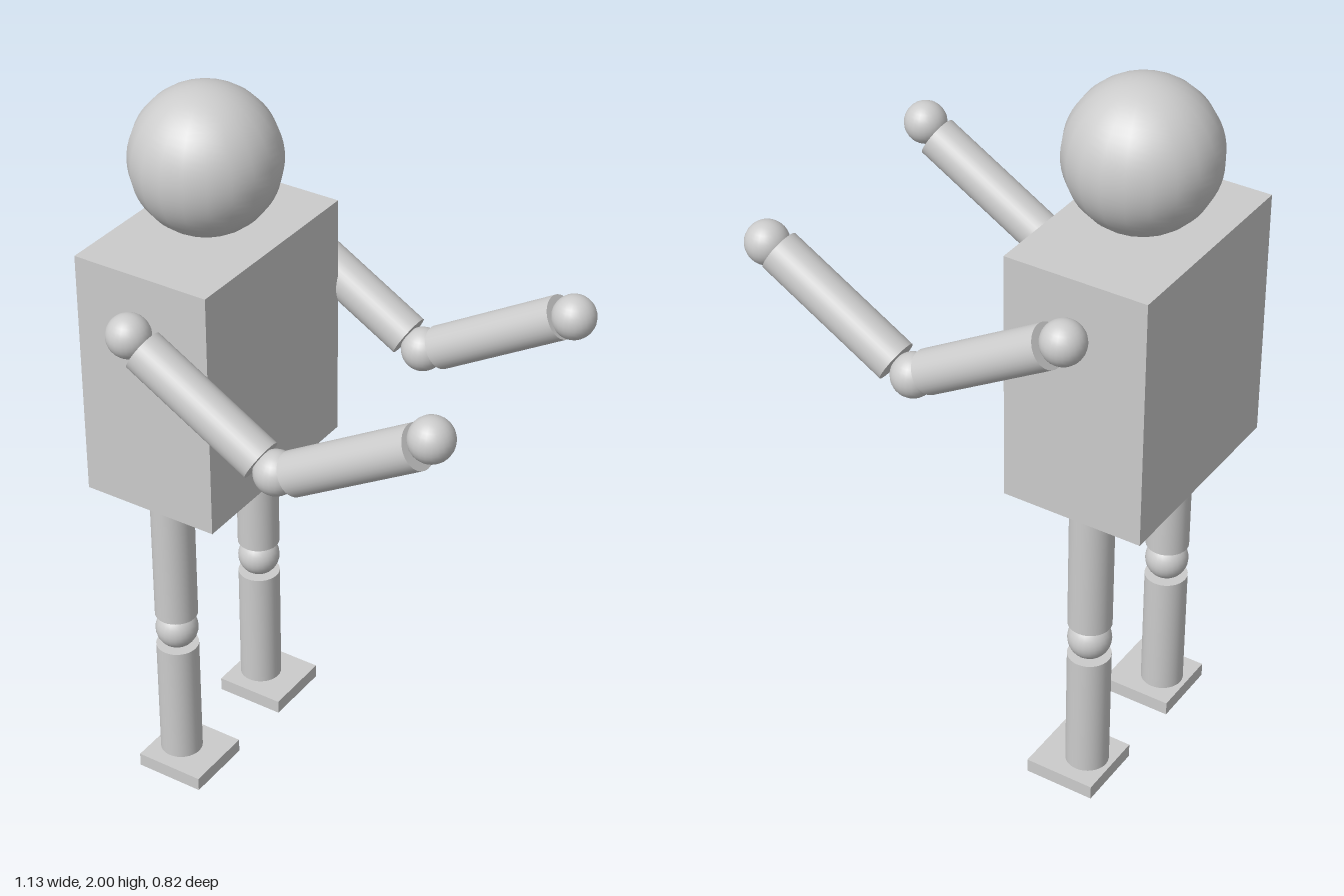
import * as THREE from 'three';

const X = -0.37; // centre line of head, torso and legs
const R = 0.059; // limb and joint radius

export function createModel() {
  const model = new THREE.Group();
  model.name = 'figure';
  const material = new THREE.MeshStandardMaterial({ color: 0xcccccc });

  const add = (parent, name, geometry, x, y, z) => {
    const mesh = new THREE.Mesh(geometry, material);
    mesh.name = name;
    mesh.position.set(x, y, z);
    parent.add(mesh);
    return mesh;
  };
  const joint = (parent, name, x, y, z) =>
    add(parent, name, new THREE.SphereGeometry(R, 24, 16), x, y, z);

  // Cylinder running between two points in the plane z
  const limb = (parent, name, x0, y0, x1, y1, z) => {
    const dir = new THREE.Vector3(x1 - x0, y1 - y0, 0);
    const mesh = add(parent, name, new THREE.CylinderGeometry(R, R, dir.length(), 32),
      (x0 + x1) / 2, (y0 + y1) / 2, z);
    mesh.quaternion.setFromUnitVectors(new THREE.Vector3(0, 1, 0), dir.normalize());
  };

  // Head and torso
  add(model, 'head', new THREE.SphereGeometry(0.198, 20, 32), X, 1.802, 0);
  add(model, 'torso', new THREE.BoxGeometry(0.397, 0.7, 0.6), X + 0.002, 1.255, 0);

  // The figure looks towards +x, so its own left is -z
  for (const [side, s] of [['left', -1], ['right', 1]]) {
    // Leg with knee and flat foot
    const leg = new THREE.Group();
    leg.name = side + 'Leg';
    model.add(leg);
    limb(leg, 'thigh', X, 0.508, X, 0.91, s * 0.2);
    joint(leg, 'knee', X, 0.458, s * 0.2);
    limb(leg, 'shin', X, 0.03, X, 0.404, s * 0.2);
    add(leg, 'foot', new THREE.BoxGeometry(0.2, 0.04, 0.2), X + 0.027, 0.02, s * 0.2);

    // Bent arm reaching forward, the right hand slightly higher
    const arm = new THREE.Group();
    arm.name = side + 'Arm';
    model.add(arm);
    joint(arm, 'shoulder', X, s > 0 ? 1.463 : 1.46, s * 0.35);
    limb(arm, 'upperArm', -0.328, 1.435, 0.021, 1.233, s * 0.35);
    joint(arm, 'elbow', 0.066, s > 0 ? 1.213 : 1.207, s * 0.35);
    limb(arm, 'forearm', 0.117, 1.229, 0.468, 1.435, s * 0.35);
    joint(arm, 'hand', 0.504, s > 0 ? 1.468 : 1.447, s * 0.35);
  }
  return model;
}
